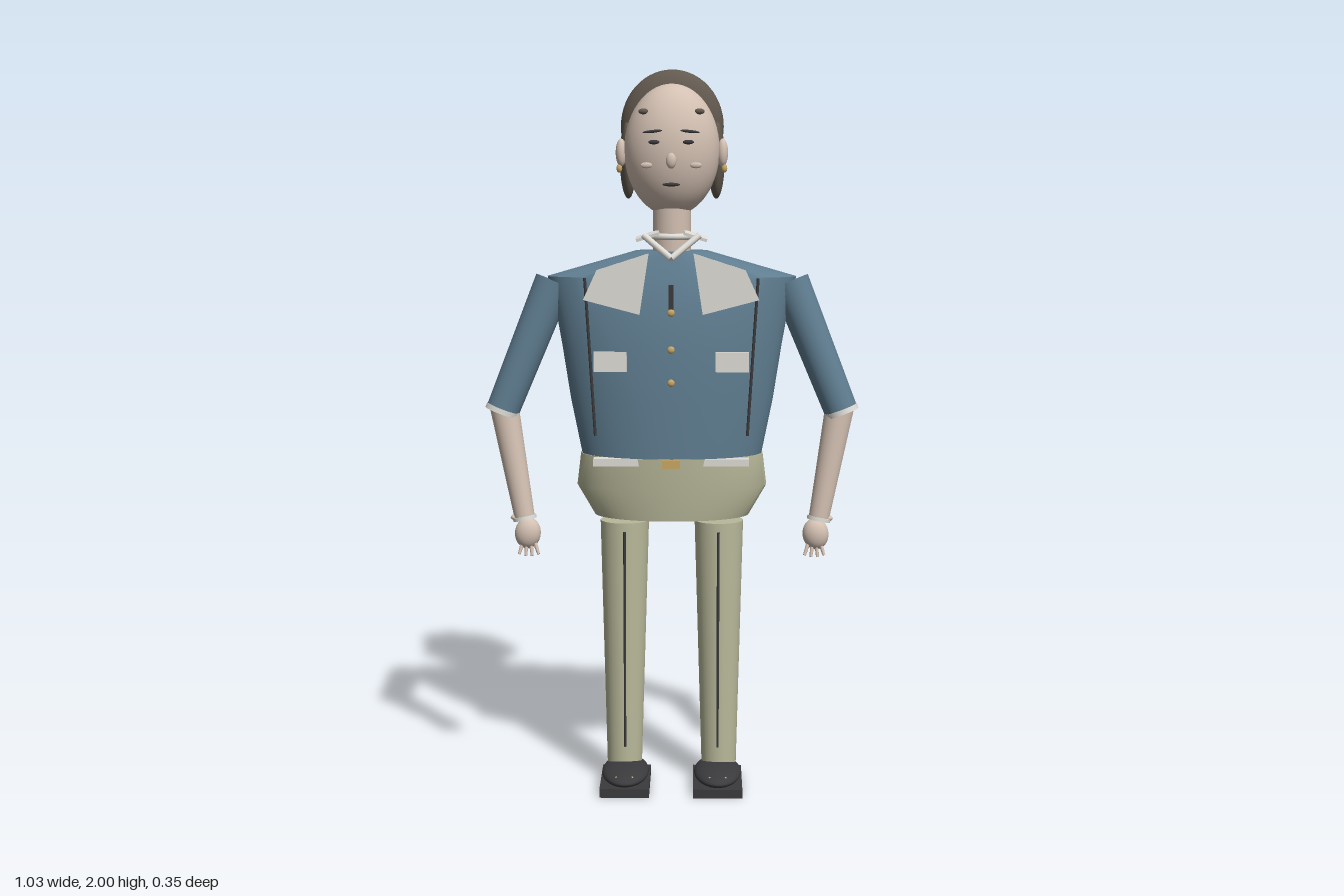
import * as THREE from 'three';
import { toCreasedNormals } from 'three/addons/utils/BufferGeometryUtils.js';

const mat = (color) => new THREE.MeshStandardMaterial({ color, side: THREE.DoubleSide });
const V = (p) => new THREE.Vector3(...p);

export function createModel() {
  const model = new THREE.Group();
  const blue = mat(0x5f7d90), khaki = mat(0xb9b99b), skin = mat(0xd3c0b2), hair = mat(0x62594f);
  const dark = mat(0x3b3b3e), white = mat(0xdfddd6), gold = mat(0xc9a765);

  const add = (name, geo, material, pos = [0, 0, 0], rot = [0, 0, 0]) => {
    const m = new THREE.Mesh(geo, material);
    m.name = name;
    m.position.set(...pos);
    m.rotation.set(...rot);
    model.add(m);
    return m;
  };
  const ball = (name, material, pos, radii, rot) => {
    const big = Math.max(...radii) > 0.03;
    const m = add(name, new THREE.SphereGeometry(1, big ? 40 : 14, big ? 28 : 10), material, pos, rot);
    m.scale.set(...radii);
    return m;
  };
  const box = (name, material, pos, size, rot) => add(name, new THREE.BoxGeometry(...size), material, pos, rot);
  // Tapered limb from point a to point b
  const limb = (name, material, a, b, ra, rb, sides = 32) => {
    const A = V(a), B = V(b), d = A.clone().sub(B);
    const m = add(name, new THREE.CylinderGeometry(ra, rb, d.length(), sides), material);
    m.position.copy(A).add(B).multiplyScalar(0.5);
    m.quaternion.setFromUnitVectors(new THREE.Vector3(0, 1, 0), d.normalize());
    return m;
  };
  // Closed stack of ellipses: [y, half width, half depth, centre z]
  const loft = (rings, n = 64) => {
    const all = [[rings[0][0], 0, 0, rings[0][3]], ...rings];
    const last = rings[rings.length - 1];
    all.push([last[0], 0, 0, last[3]]);
    const pos = [], idx = [];
    all.forEach(([y, rx, rz, cz], r) => {
      for (let i = 0; i <= n; i++) {
        const t = (i / n) * Math.PI * 2;
        pos.push(rx * Math.sin(t), y, cz + rz * Math.cos(t));
        if (r && i) {
          const c = r * (n + 1) + i, b = c - n - 1;
          idx.push(b - 1, b, c, b - 1, c, c - 1);
        }
      }
    });
    const g = new THREE.BufferGeometry();
    g.setAttribute('position', new THREE.Float32BufferAttribute(pos, 3));
    g.setIndex(idx);
    return toCreasedNormals(g, 0.6);
  };

  // Jacket body and hips
  add('jacketBody', loft([
    [0.95, 0.25, 0.13, -0.011], [1.1, 0.28, 0.131, -0.012], [1.25, 0.303, 0.126, -0.013],
    [1.36, 0.322, 0.112, -0.014], [1.44, 0.342, 0.092, -0.015], [1.51, 0.1, 0.06, -0.01],
  ]), blue);
  add('hips', loft([
    [0.775, 0.215, 0.118, -0.012], [0.86, 0.264, 0.128, -0.011], [0.95, 0.253, 0.132, -0.011],
  ]), khaki);

  // Belt and front fastenings
  box('belt', white, [0, 0.94, 0.097], [0.425, 0.02, 0.03]);
  box('buckle', gold, [0, 0.937, 0.117], [0.05, 0.024, 0.012]);
  for (const y of [1.35, 1.25, 1.16]) ball('jacketButton', gold, [0, y, 0.118], [0.01, 0.01, 0.006]);
  box('tie', dark, [0, 1.39, 0.112], [0.014, 0.07, 0.008]);

  // Neck and collar ring
  add('neck', new THREE.CylinderGeometry(0.052, 0.052, 0.13, 32), skin, [0, 1.57, -0.02]);
  add('collarRing', new THREE.TorusGeometry(0.062, 0.009, 10, 40), white, [0, 1.55, -0.012], [Math.PI / 2, 0, 0]);

  // Head, hair and central face parts
  ball('head', skin, [0, 1.782, -0.02], [0.13, 0.178, 0.108]);
  ball('hairCap', hair, [0, 1.845, -0.098], [0.142, 0.155, 0.064], [0.05, 0, 0]);
  ball('hairBack', hair, [0, 1.77, -0.115], [0.13, 0.135, 0.062]);
  ball('nose', skin, [0, 1.755, 0.098], [0.014, 0.021, 0.01]);
  ball('mouth', dark, [0, 1.692, 0.098], [0.024, 0.005, 0.005]);

  // Lapel outline
  const lapel = new THREE.Shape([[0.06, 1.51], [0.2, 1.465], [0.237, 1.385], [0.085, 1.345]]
    .map(([x, y]) => new THREE.Vector2(x, y)));

  for (const s of [1, -1]) {
    // Face details
    ball('eyebrow', dark, [s * 0.05, 1.832, 0.1], [0.026, 0.004, 0.004], [0, 0, -s * 0.1]);
    ball('eye', dark, [s * 0.046, 1.804, 0.1], [0.015, 0.006, 0.005]);
    ball('cheek', skin, [s * 0.066, 1.743, 0.098], [0.016, 0.008, 0.005]);
    ball('templeCurl', hair, [s * 0.075, 1.885, 0.047], [0.014, 0.008, 0.008]);
    ball('ear', skin, [s * 0.138, 1.775, -0.015], [0.015, 0.038, 0.018]);
    ball('earring', gold, [s * 0.143, 1.733, -0.012], [0.008, 0.012, 0.008]);
    ball('sideLock', hair, [s * 0.122, 1.755, -0.09], [0.023, 0.108, 0.042], [0.12, 0, 0]);

    // Collar, lapel, pocket and seam
    limb('collarEdge', white, [s * 0.075, 1.555, 0.062], [0, 1.495, 0.1], 0.009, 0.009, 10);
    box('collarTip', white, [s * 0.065, 1.552, 0.03], [0.065, 0.008, 0.05], [0.1, 0, -s * 0.3]);
    const flap = new THREE.ExtrudeGeometry(lapel, { depth: 0.004, bevelEnabled: false });
    add('lapel', flap, white, [0, 0, s > 0 ? 0.114 : 0.118], [0, s > 0 ? 0 : Math.PI, 0]);
    if (s < 0) flap.translate(0, 0, 0);
    box('pocketFlap', white, [s * 0.165, 1.217, 0.112], [0.09, 0.054, 0.01]);
    limb('jacketSeam', dark, [s * 0.235, 1.44, 0.07], [s * 0.208, 1.01, 0.082], 0.004, 0.004, 8);

    // Arm with short sleeve, cuff and hand
    const elbow = [s * 0.47, 1.066, 0.005], wrist = [s * 0.408, 0.765, 0.035];
    limb('sleeve', blue, [s * 0.325, 1.425, -0.027], elbow, 0.053, 0.046);
    limb('sleeveCuff', white, [s * 0.467, 1.074, 0.005], [s * 0.472, 1.061, 0.006], 0.048, 0.048);
    limb('forearm', skin, [s * 0.465, 1.08, 0.003], wrist, 0.04, 0.028);
    limb('wristband', white, [s * 0.41, 0.775, 0.034], [s * 0.408, 0.765, 0.035], 0.033, 0.033);
    ball('watchCrown', skin, [s * 0.436, 0.772, 0.037], [0.012, 0.008, 0.012]);
    ball('hand', skin, [s * 0.4, 0.729, 0.043], [0.036, 0.044, 0.028], [0, 0, s * 0.1]);
    for (let i = 0; i < 4; i++) {
      const k = i - 1.5;
      limb('finger', skin, [s * (0.397 + k * 0.011), 0.705, 0.05],
        [s * (0.396 + k * 0.018), 0.665 + Math.abs(k) * 0.005, 0.062], 0.006, 0.004, 8);
    }

    // Leg with trouser crease
    limb('trouserLeg', khaki, [s * 0.132, 0.757, -0.012], [s * 0.134, 0.055, 0.003], 0.068, 0.049);
    limb('trouserCrease', dark, [s * 0.13, 0.735, 0.06], [s * 0.13, 0.12, 0.073], 0.004, 0.003, 8);

    // Shoe
    box('shoeSole', dark, [s * 0.13, 0.0125, 0.054], [0.138, 0.025, 0.206]);
    ball('shoeUpper', dark, [s * 0.13, 0.044, 0.056], [0.066, 0.025, 0.121]);
    for (const e of [1, -1]) ball('shoeEyelet', gold, [s * 0.13 + e * 0.022, 0.055, 0.148], [0.004, 0.004, 0.004]);
  }
  return model;
}
